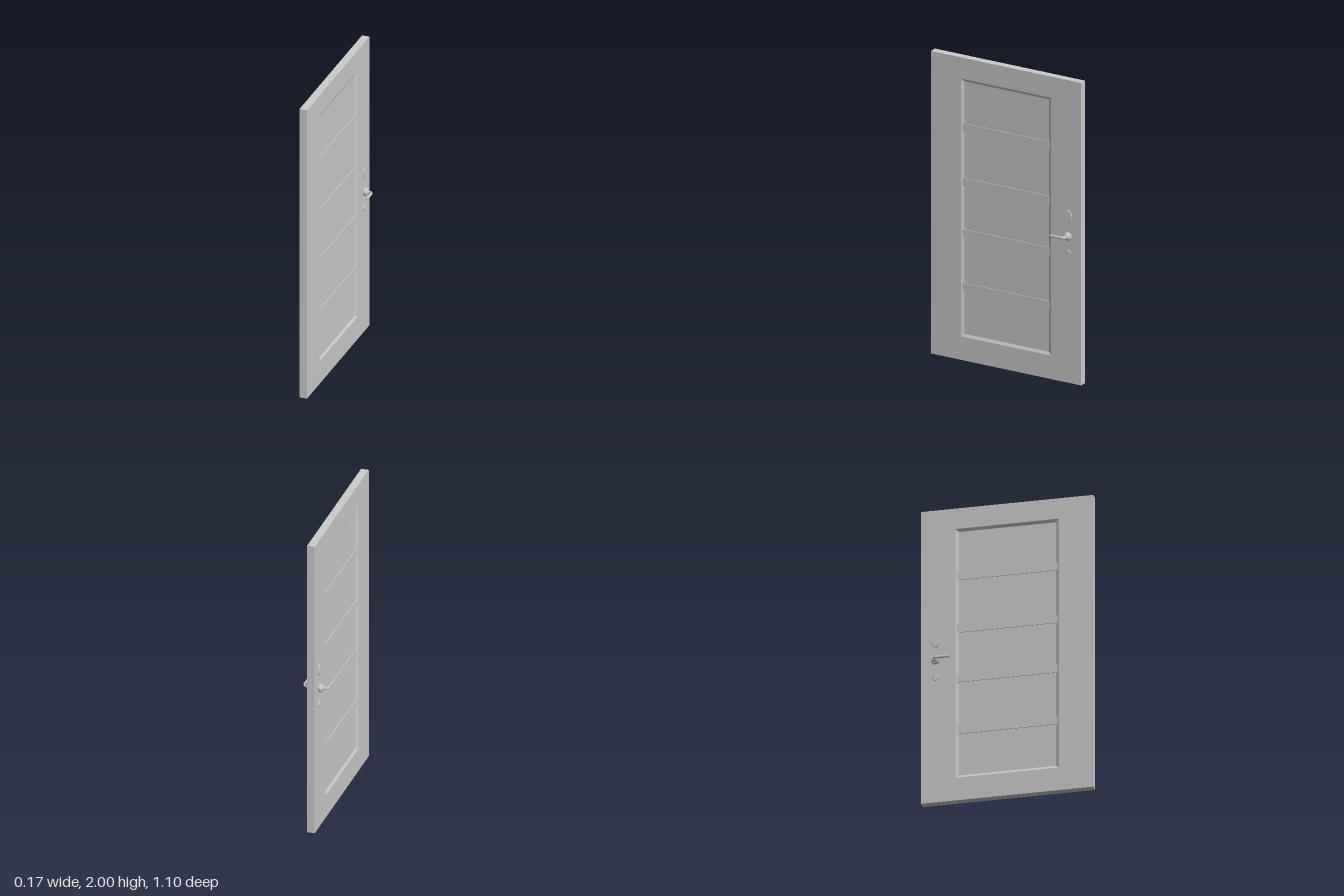
import * as THREE from 'three';

const HALF_T = 0.025; // half the slab thickness
const DEPTH = 0.01; // depth of the panel recess
const LOCK_Z = -0.457;

const material = new THREE.MeshStandardMaterial({ color: 0xcccccc });
const flatMaterial = new THREE.MeshStandardMaterial({ color: 0xcccccc, flatShading: true });

function addMesh(parent, name, geometry, mat = material) {
  const mesh = new THREE.Mesh(geometry, mat);
  mesh.name = name;
  parent.add(mesh);
  return mesh;
}

// Slab lofted through nested rectangles: panel, recess edge, door edge, and back again
function slabGeometry() {
  const rects = [
    [HALF_T - DEPTH, 0.31, 0.173, 1.842],
    [HALF_T, 0.33, 0.155, 1.86],
    [HALF_T, 0.55, 0, 2],
  ];
  const mirrored = rects.map(([x, ...r]) => [-x, ...r]).reverse();
  const loops = [...rects, ...mirrored].map(([x, z, y0, y1]) => [
    [x, y0, z], [x, y0, -z], [x, y1, -z], [x, y1, z],
  ]);
  const pos = [];
  const quad = (a, b, c, d) => pos.push(...a, ...b, ...c, ...a, ...c, ...d);
  quad(...loops[0]);
  for (let i = 0; i < loops.length - 1; i++) {
    for (let j = 0; j < 4; j++) {
      const k = (j + 1) % 4;
      quad(loops[i][j], loops[i + 1][j], loops[i + 1][k], loops[i][k]);
    }
  }
  quad(...[...loops[loops.length - 1]].reverse());
  const geo = new THREE.BufferGeometry();
  geo.setAttribute('position', new THREE.Float32BufferAttribute(pos, 3));
  geo.computeVertexNormals();
  return geo;
}

// Turned part standing out from the face on side s; profile is [radius, height]
function addTurned(parent, name, s, profile, y, stretch = 1) {
  const geo = new THREE.LatheGeometry(profile.map(([r, h]) => new THREE.Vector2(r, h)), 32);
  geo.scale(stretch, 1, 1);
  const mesh = addMesh(parent, name, geo, flatMaterial);
  mesh.rotation.z = -s * Math.PI / 2;
  mesh.position.set(s * HALF_T, y, LOCK_Z);
}

// Lever: neck leaving the rosette, then a bend along the door towards its middle
function addLever(parent, s) {
  const lever = new THREE.Group();
  lever.name = 'lever';
  lever.position.set(0, 0.97, LOCK_Z);
  const p = (x, z) => new THREE.Vector3(s * x, 0, z);
  const path = new THREE.CurvePath();
  path.add(new THREE.LineCurve3(p(0.04, 0), p(0.058, 0)));
  path.add(new THREE.CubicBezierCurve3(p(0.058, 0), p(0.07, 0), p(0.078, 0.004), p(0.078, 0.018)));
  path.add(new THREE.LineCurve3(p(0.078, 0.018), p(0.079, 0.099)));
  const bar = addMesh(lever, 'leverBar', new THREE.TubeGeometry(path, 40, 0.006, 16));
  bar.scale.y = 1.6;
  const cap = addMesh(lever, 'leverEnd', new THREE.CircleGeometry(0.006, 16));
  cap.position.copy(p(0.079, 0.099));
  cap.scale.y = 1.6;
  parent.add(lever);
}

export function createModel() {
  const door = new THREE.Group();
  door.name = 'door';
  addMesh(door, 'slab', slabGeometry());

  // Cross rails dividing the recess into five panels
  for (const y of [1.538, 1.178, 0.838, 0.483]) {
    const rail = addMesh(door, 'crossRail', new THREE.BoxGeometry(0.04, 0.053, 0.64));
    rail.position.y = y;
  }

  // Hardware on both faces
  for (const s of [1, -1]) {
    const set = new THREE.Group();
    set.name = s > 0 ? 'leftHardware' : 'rightHardware';
    addTurned(set, 'rosette', s, [
      [0.024, 0], [0.024, 0.003], [0.027, 0.005], [0.027, 0.014], [0.023, 0.019],
      [0.018, 0.02], [0.017, 0.025], [0.012, 0.03], [0, 0.03],
    ], 0.97);
    addLever(set, s);
    addTurned(set, 'lockPlate', s, [[0.028, 0], [0.028, 0.004], [0.026, 0.006], [0, 0.006]], 1.1, 1.4);
    addTurned(set, 'keyPlate', s, [[0.021, 0], [0.021, 0.004], [0.019, 0.006], [0, 0.006]], 0.857, 1.1);
    door.add(set);
  }
  return door;
}
